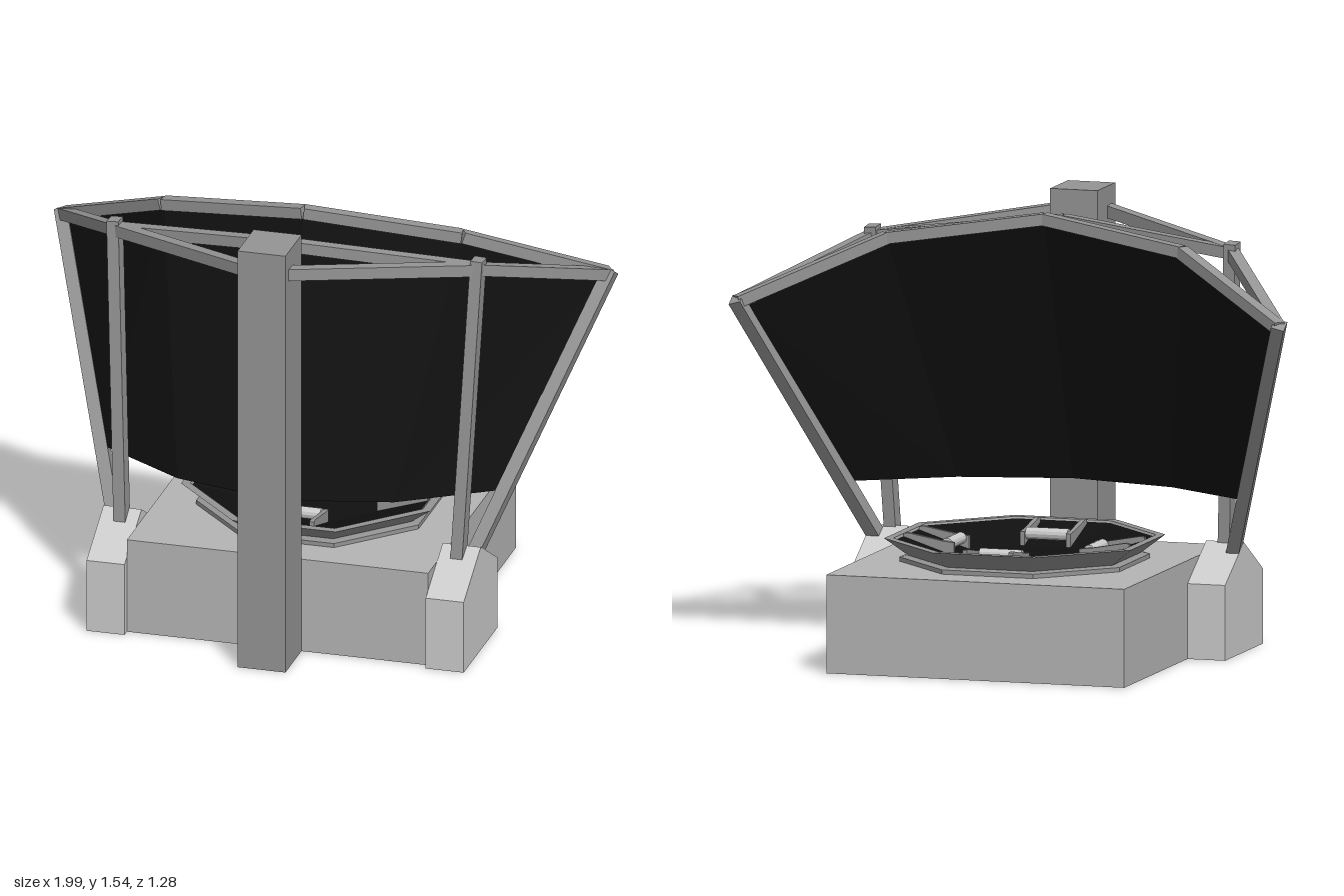
import * as THREE from 'three';

const paint = (color) => new THREE.MeshStandardMaterial({ color, flatShading: true, side: THREE.DoubleSide });
const light = paint(0xcccccc);
const concrete = paint(0xb5b5b5);
const steel = paint(0x949494);
const black = paint(0x101010);
const V = (x, y, z) => new THREE.Vector3(x, y, z);
const PAD_Z = -0.097;

function add(parent, name, geometry, material = steel) {
  const mesh = new THREE.Mesh(geometry, material);
  mesh.name = name;
  parent.add(mesh);
  return mesh;
}

// Box given by its limits, standing on y = 0, with some sides left out
// (side order: +x, -x, +y, -y, +z, -z)
function openBox(x0, x1, h, z0, z1, firstOpen, openCount) {
  const g = new THREE.BoxGeometry(x1 - x0, h, z1 - z0);
  const index = Array.from(g.index.array);
  index.splice(firstOpen * 6, openCount * 6);
  g.setIndex(index);
  g.clearGroups();
  return g.translate((x0 + x1) / 2, h / 2, (z0 + z1) / 2);
}

// Square bar from a to b
function beam(parent, name, a, b, w, h, up = V(0, 1, 0)) {
  const bar = add(parent, name, new THREE.BoxGeometry(w, h, a.distanceTo(b)));
  bar.position.copy(a).add(b).multiplyScalar(0.5);
  bar.up.copy(up);
  bar.lookAt(b);
}

function surface(points, index) {
  const g = new THREE.BufferGeometry().setFromPoints(points);
  g.setIndex(index);
  const flat = g.toNonIndexed();
  flat.computeVertexNormals();
  return flat;
}

// Gabled foot: walls and roof without an underside
function footGeometry(side) {
  const outline = [[0.055, 0], [0.055, 0.26], [0.26, 0.38], [0.47, 0.26], [0.47, 0]];
  const xs = side > 0 ? [0.535, 0.67] : [-0.67, -0.535];
  const points = xs.flatMap(x => outline.map(([z, y]) => V(x, y, z)));
  const index = [];
  for (let i = 0; i < 4; i++) index.push(i, i + 1, i + 5, i + 1, i + 6, i + 5);
  for (let i = 1; i < 4; i++) index.push(0, i + 1, i, 5, i + 5, i + 6);
  return surface(points, index);
}

// Curved screen lofted between its top and bottom edges
function screenGeometry(top, bottom) {
  const index = [];
  for (let i = 0; i < top.length - 1; i++) {
    const k = i * 2;
    index.push(k, k + 1, k + 2, k + 2, k + 1, k + 3);
  }
  return surface(top.flatMap((t, i) => [t, bottom[i]]), index);
}

// Octagonal ring; radii are measured to the middle of a side
function octagon(profile) {
  const k = 1 / Math.cos(Math.PI / 8);
  const pts = profile.map(([r, y]) => new THREE.Vector2(r * k, y));
  return new THREE.LatheGeometry(pts, 8, Math.PI / 8).scale(0.98, 1, 1.012);
}

// Top of the base with an octagonal opening under the pad
function deckGeometry() {
  const deck = new THREE.Shape([[-0.535, -0.44], [0.535, -0.44], [0.535, 0.64], [-0.535, 0.64]]
    .map(([x, y]) => new THREE.Vector2(x, y)));
  const hole = [];
  for (let i = 0; i < 8; i++) {
    const a = (i + 0.5) * Math.PI / 4;
    hole.push(new THREE.Vector2(0.41 * Math.cos(a), 0.41 * Math.sin(a) - PAD_Z));
  }
  deck.holes.push(new THREE.Path(hole));
  return new THREE.ShapeGeometry(deck).rotateX(-Math.PI / 2).translate(0, 0.34, 0);
}

export function createModel() {
  const model = new THREE.Group();
  model.name = 'launchPad';

  // Foundation and tower
  add(model, 'baseWalls', openBox(-0.535, 0.535, 0.34, -0.64, 0.44, 2, 2), concrete);
  add(model, 'baseDeck', deckGeometry(), concrete);
  add(model, 'tower', openBox(-0.085, 0.085, 1.54, 0.44, 0.637, 3, 1));

  // Screen with its top rail
  const mirrorRow = half => [...half.slice(1).reverse().map(p => V(-p.x, p.y, p.z)), ...half];
  const rail = mirrorRow([V(0, 1.485, 0.115), V(0.53, 1.412, 0.005), V(0.97, 1.212, -0.278)]);
  const foot = mirrorRow([V(0, 0.545, 0.432), V(0.385, 0.545, 0.34), V(0.695, 0.545, 0.14)]);
  add(model, 'screen', screenGeometry(rail, foot), black);
  for (let i = 0; i < 4; i++) beam(model, 'screenRail', rail[i], rail[i + 1], 0.042, 0.04);

  // Feet, masts and braces on both sides
  for (const s of [-1, 1]) {
    const frontTop = V(s * 0.645, 1.385, 0.207);
    const rearTop = V(s * 0.97, 1.21, -0.278);
    const sideways = V(1, 0, 0);
    add(model, 'foot', footGeometry(s), light);
    beam(model, 'frontMast', V(s * 0.598, 0.34, 0.285), V(s * 0.646, 1.42, 0.205), 0.06, 0.042, sideways);
    beam(model, 'rearMast', V(s * 0.635, 0.33, 0.245), V(s * 0.975, 1.222, -0.284), 0.05, 0.045, sideways);
    beam(model, 'sideRail', frontTop, rearTop, 0.04, 0.04);
    beam(model, 'frontRail', frontTop, V(0, 1.45, 0.33), 0.04, 0.04);
    beam(model, 'towerBrace', frontTop, V(s * 0.06, 1.455, 0.59), 0.04, 0.042);
  }

  // Octagonal pad with a flared rim and dark dish
  const pad = new THREE.Group();
  pad.name = 'pad';
  pad.position.z = PAD_Z;
  model.add(pad);
  add(pad, 'padRim', octagon([
    [0.38, 0.335], [0.403, 0.335], [0.403, 0.355], [0.375, 0.36], [0.452, 0.42], [0.422, 0.42], [0.41, 0.41],
  ]));
  add(pad, 'padDish', octagon([[0, 0.352], [0.22, 0.352], [0.418, 0.415]]), black);

  // Four clamps, each with two arms and a roller
  const armShape = new THREE.Shape([[0.225, 0.35], [0.225, 0.4], [0.27, 0.405], [0.39, 0.427], [0.405, 0.425],
    [0.405, 0.41], [0.3, 0.365]].map(([x, y]) => new THREE.Vector2(x, y)));
  const armGeometry = new THREE.ExtrudeGeometry(armShape, { depth: 0.016, bevelEnabled: false });
  const rollerGeometry = new THREE.CylinderGeometry(0.021, 0.021, 0.15, 12).rotateX(Math.PI / 2);
  for (let i = 0; i < 4; i++) {
    const clamp = new THREE.Group();
    clamp.name = 'clamp';
    clamp.rotation.y = i * Math.PI / 2;
    pad.add(clamp);
    for (const z of [-0.083, 0.083]) add(clamp, 'clampArm', armGeometry).position.z = z - 0.008;
    add(clamp, 'clampRoller', rollerGeometry, light).position.set(0.255, 0.392, 0);
  }
  return model;
}
